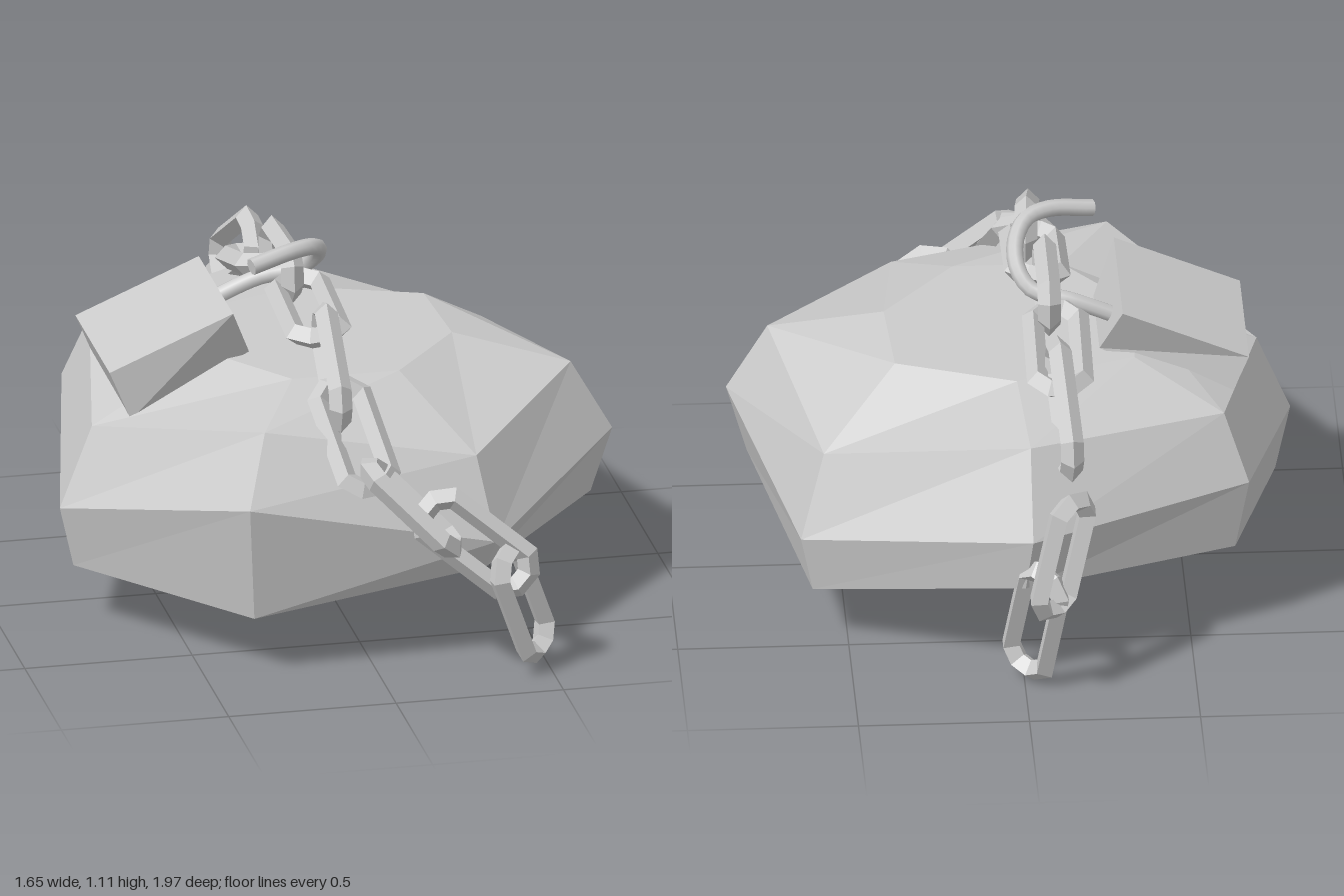
import * as THREE from 'three';

const flat = new THREE.MeshStandardMaterial({ color: 0xcccccc, flatShading: true });
const smooth = new THREE.MeshStandardMaterial({ color: 0xcccccc });
const V = (p) => new THREE.Vector3(...p);

function part(name, geometry, material = flat) {
  const mesh = new THREE.Mesh(geometry, material);
  mesh.name = name;
  return mesh;
}

// Faceted boulder: four seven-sided rings, closed at the top and bottom
function rockGeometry() {
  const rings = [
    [[0, 0.33, -0.81], [0.605, 0.175, -0.49], [0.76, 0.28, 0.18], [0.33, 0.28, 0.71],
      [-0.36, 0.175, 0.71], [-0.785, 0.175, 0.18], [-0.63, 0.28, -0.49]],
    [[-0.02, 0.5, -0.85], [0.64, 0.35, -0.51], [0.82, 0.48, 0.2], [0.35, 0.38, 0.77],
      [-0.39, 0.545, 0.79], [-0.83, 0.365, 0.2], [-0.67, 0.5, -0.51]],
    [[-0.02, 0.74, -0.71], [0.57, 0.6, -0.45], [0.7, 0.69, 0.18], [0.31, 0.62, 0.68],
      [-0.32, 0.74, 0.67], [-0.73, 0.607, 0.18], [-0.6, 0.7, -0.45]],
    [[0, 0.775, -0.36], [0.35, 0.775, -0.23], [0.365, 0.775, 0.09], [0.15, 0.775, 0.355],
      [-0.17, 0.775, 0.355], [-0.37, 0.775, 0.09], [-0.35, 0.775, -0.23]],
  ];
  const n = 7;
  const points = rings.flat();
  const index = [];
  for (let r = 0; r < 3; r++) {
    for (let i = 0; i < n; i++) {
      const a = r * n + i, b = r * n + (i + 1) % n;
      index.push(b, a, a + n, b, a + n, b + n);
    }
  }
  // End caps fan out from the middle of their ring
  [[0, 1], [3, -1]].forEach(([r, dir]) => {
    const middle = [0, 1, 2].map((k) => rings[r].reduce((s, p) => s + p[k], 0) / n);
    const c = points.push(middle) - 1;
    for (let i = 0; i < n; i++) {
      const a = r * n + i, b = r * n + (i + 1) % n;
      index.push(c, ...(dir > 0 ? [a, b] : [b, a]));
    }
  });
  const g = new THREE.BufferGeometry();
  g.setAttribute('position', new THREE.Float32BufferAttribute(points.flat(), 3));
  g.setIndex(index);
  g.computeVertexNormals();
  return g;
}

// Angular link in the xy plane: an eight-sided ring stretched along x
function linkGeometry(length) {
  const R = 0.072, r = 0.034;
  const g = new THREE.TorusGeometry(R, r, 4, 8);
  g.rotateZ(Math.PI / 8);
  const p = g.attributes.position;
  const shift = length / 2 - (R + r) * Math.cos(Math.PI / 8);
  for (let i = 0; i < p.count; i++) p.setX(i, p.getX(i) + Math.sign(p.getX(i)) * shift);
  g.computeVertexNormals();
  return g;
}

// Places a link between its two outer ends, with its width along a given direction
function chainLink([start, end, width]) {
  const a = V(start), b = V(end);
  const x = b.clone().sub(a);
  const length = x.length();
  x.normalize();
  const z = x.clone().cross(V(width)).normalize();
  const y = z.clone().cross(x);
  const mesh = part('chainLink', linkGeometry(length));
  mesh.quaternion.setFromRotationMatrix(new THREE.Matrix4().makeBasis(x, y, z));
  mesh.position.copy(a).add(b).multiplyScalar(0.5);
  return mesh;
}

function createPadlock() {
  const lock = new THREE.Group();
  lock.name = 'padlock';

  // Tilted body, narrowed along the lower edge of the shackle end
  const g = new THREE.BoxGeometry(0.4, 0.165, 0.47);
  const p = g.attributes.position;
  for (let i = 0; i < p.count; i++) {
    if (p.getX(i) > 0 && p.getY(i) < 0) p.setZ(i, p.getZ(i) * 0.68);
  }
  const body = part('padlockBody', g);
  body.position.set(-0.467, 0.782, -0.025);
  body.rotation.z = 0.397;
  lock.add(body);

  // Open shackle
  const curve = new THREE.CatmullRomCurve3([
    [-0.34, 0.84, -0.12], [-0.17, 0.91, -0.12], [-0.06, 0.935, -0.1], [-0.02, 0.98, -0.06],
    [-0.015, 1.035, 0.01], [-0.05, 1.075, 0.08], [-0.12, 1.083, 0.125], [-0.25, 1.06, 0.165],
  ].map(V));
  lock.add(part('shackle', new THREE.TubeGeometry(curve, 28, 0.025, 8), smooth));
  const tip = part('shackleTip', new THREE.CircleGeometry(0.025, 8));
  tip.position.copy(curve.getPoint(1));
  tip.lookAt(curve.getPoint(1).add(curve.getTangent(1)));
  lock.add(tip);
  return lock;
}

export function createModel() {
  const model = new THREE.Group();
  model.name = 'chainedRock';
  model.add(part('rock', rockGeometry()));
  model.add(createPadlock());

  // Chain from the back, over the top and down the front: start, end, width direction
  const chain = new THREE.Group();
  chain.name = 'chain';
  [
    [[0, 0.005, -0.72], [-0.06, 0.42, -0.86], [1, 0, 1]],
    [[-0.06, 0.28, -0.91], [-0.15, 0.67, -0.86], [1, 0, -1]],
    [[-0.14, 0.69, -0.79], [-0.11, 0.93, -0.41], [0, 1, 0]],
    [[-0.12, 0.82, -0.54], [-0.12, 0.93, -0.16], [1, 0, 0]],
    [[-0.1, 0.95, -0.3], [-0.1, 0.97, 0.07], [0, 1, 0]],
    [[-0.08, 0.94, -0.05], [-0.08, 0.89, 0.37], [1, 0.1, 0]],
    [[-0.06, 0.94, 0.26], [-0.09, 0.75, 0.67], [0, 1, 0]],
    [[-0.08, 0.83, 0.5], [-0.02, 0.57, 0.81], [1, 0, 0]],
    [[-0.06, 0.68, 0.8], [0.21, 0.41, 0.92], [-0.3, 0.2, 1]],
    [[0.11, 0.55, 0.83], [0.43, 0.28, 0.88], [1, 1, 0]],
    [[0.34, 0.41, 0.9], [0.48, 0.03, 0.8], [0.65, 0, -0.75]],
  ].forEach((spec) => chain.add(chainLink(spec)));
  model.add(chain);
  return model;
}
